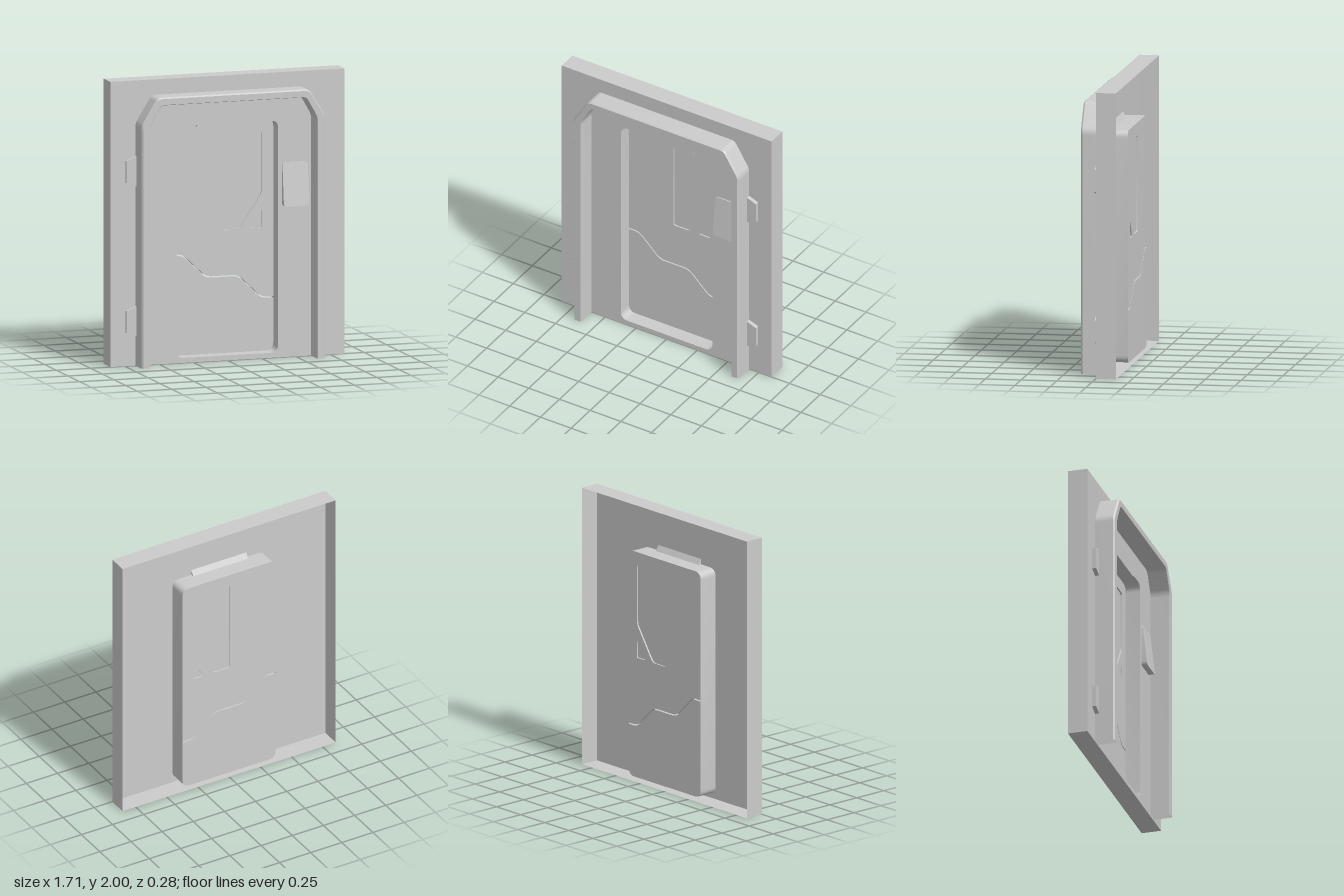
import * as THREE from 'three';
import { toCreasedNormals } from 'three/addons/utils/BufferGeometryUtils.js';

const solid = new THREE.MeshStandardMaterial({ color: 0xcccccc });
const sheet = new THREE.MeshStandardMaterial({ color: 0xcccccc, side: THREE.DoubleSide });

// Rounds the corners of a polyline; each point is [x, y, radius]
function rounded(pts, closed = true, steps = 6) {
  const out = [], n = pts.length;
  pts.forEach(([x, y, r = 0], i) => {
    const p = new THREE.Vector2(x, y);
    if (!r || (!closed && (i === 0 || i === n - 1))) { out.push(p); return; }
    const toward = (q) => {
      const d = new THREE.Vector2(q[0], q[1]).sub(p);
      return d.setLength(Math.min(r, d.length() * 0.49)).add(p);
    };
    const bend = new THREE.QuadraticBezierCurve(toward(pts[(i + n - 1) % n]), p, toward(pts[(i + 1) % n]));
    out.push(...bend.getPoints(steps));
  });
  return out;
}

const rect = (x0, y0, x1, y1, r = 0) => rounded([[x0, y0, r], [x1, y0, r], [x1, y1, r], [x0, y1, r]]);
const reversed = (pts) => [...pts].reverse();

function shapeWithHoles(pts, holes = []) {
  const shape = new THREE.Shape(pts);
  holes.forEach((h) => shape.holes.push(new THREE.Path(reversed(h))));
  return shape;
}

// Surface through a row of equally long point rings
function loft(rings, closed) {
  const n = rings[0].length, pos = [], index = [];
  rings.forEach((ring) => ring.forEach((p) => pos.push(p.x, p.y, p.z)));
  for (let k = 0; k < rings.length - 1; k++) {
    for (let i = 0; i < (closed ? n : n - 1); i++) {
      const a = k * n + i, b = k * n + (i + 1) % n;
      index.push(a, b, b + n, a, b + n, a + n);
    }
  }
  const g = new THREE.BufferGeometry();
  g.setAttribute('position', new THREE.Float32BufferAttribute(pos, 3));
  g.setIndex(index);
  return toCreasedNormals(g, 0.5);
}

const atDepth = (pts, z) => pts.map((p) => new THREE.Vector3(p.x, p.y, z));

function extrude(shape, z0, z1) {
  const g = new THREE.ExtrudeGeometry(shape, { depth: z1 - z0, bevelEnabled: false });
  g.translate(0, 0, z0);
  return toCreasedNormals(g, 0.5);
}

export function createModel() {
  const model = new THREE.Group();
  const add = (name, geometry, material = solid, parent = model) => {
    const mesh = new THREE.Mesh(geometry, material);
    mesh.name = name;
    parent.add(mesh);
    return mesh;
  };

  // Wall: thin front sheet with a rim, open at the back
  const W = 0.855, D = 0.14;
  const wallOutline = rect(-W, 0, W, 2);
  const niche = rect(-0.372, 0.035, 0.372, 1.663, 0.055);
  const slot = rect(-0.153, 1.67, 0.153, 1.692);
  add('wallPanel', new THREE.ShapeGeometry(shapeWithHoles(wallOutline, [niche, slot])), sheet);
  add('wallRim', loft([atDepth(wallOutline, 0), atDepth(wallOutline, -D)], true), sheet);

  // Niche sides running back to the door
  add('doorNiche', loft([atDepth(niche, 0), atDepth(niche, -0.138)], true), sheet);

  // Sloped light housing behind the slot over the door
  const wedge = new THREE.Shape([[0, 1.702], [-0.03, 1.65], [0, 1.65]].map((p) => new THREE.Vector2(...p)));
  const housing = extrude(wedge, -0.22, 0.22);
  housing.rotateY(-Math.PI / 2);
  add('lightHousing', housing, sheet);

  // Door frame: bevelled channel around the opening, chamfered at the top
  const arch = (w, top, shoulder, cw) => rounded([
    [w, 0], [w, shoulder, 0.03], [cw, top, 0.03], [-cw, top, 0.03], [-w, shoulder, 0.03], [-w, 0],
  ], false);
  const outer = arch(0.672, 1.892, 1.70, 0.553);
  const inner = arch(0.613, 1.838, 1.69, 0.53);
  const between = (t) => outer.map((p, i) => p.clone().lerp(inner[i], t));
  add('doorFrame', loft([
    atDepth(outer, 0), atDepth(outer, 0.128), atDepth(between(0.17), 0.14),
    atDepth(between(0.95), 0.14), atDepth(inner, 0.137), atDepth(inner, 0),
  ], false), sheet);

  // Brackets on both sides of the frame
  for (const side of [-1, 1]) {
    for (const y of [0.21, 1.262]) {
      const pts = [[0.66, y - 0.003], [0.745, y + 0.026], [0.745, y + 0.18], [0.66, y + 0.213]]
        .map(([x, py]) => new THREE.Vector2(side * x, py));
      add('frameBracket', extrude(new THREE.Shape(pts), 0, 0.029));
    }
  }

  // Door: two leaves parted by a stepped gap, with windows in the upper one
  const door = new THREE.Group();
  door.name = 'door';
  model.add(door);
  const split = (dy) => rounded([
    [-0.372, 0.737 + dy], [-0.29, 0.737 + dy, 0.04], [-0.12, 0.572 + dy, 0.04],
    [0.115, 0.572 + dy, 0.04], [0.285, 0.408 + dy, 0.04], [0.372, 0.408 + dy],
  ], false);
  const corner = (x, y, dx, dy) => new THREE.QuadraticBezierCurve(
    new THREE.Vector2(x, y + dy), new THREE.Vector2(x, y), new THREE.Vector2(x + dx, y)).getPoints(6);
  const r = 0.055;
  const upper = [...split(0.005), ...corner(0.372, 1.663, -r, -r), ...reversed(corner(-0.372, 1.663, r, -r))];
  const lower = [...reversed(split(-0.005)), ...corner(-0.372, 0.035, r, r), ...reversed(corner(0.372, 0.035, -r, r))];
  const windows = [
    rounded([[-0.01, 0.90, 0.015], [0.125, 0.90, 0.03], [0.287, 1.14, 0.03], [0.287, 1.572, 0.015], [-0.01, 1.572, 0.015]]),
    rounded([[0.2, 0.90, 0.012], [0.287, 0.90, 0.008], [0.287, 1.025, 0.012]]),
  ];
  add('upperDoorLeaf', extrude(shapeWithHoles(upper, windows), -0.138, -0.105), solid, door);
  add('lowerDoorLeaf', extrude(shapeWithHoles(lower), -0.138, -0.105), solid, door);
  windows.forEach((w) => add('windowPane', extrude(shapeWithHoles(w), -0.127, -0.116), solid, door));

  // Control panel beside the door: its face slopes back toward the top
  const panel = extrude(shapeWithHoles(rect(0.4, 1.06, 0.585, 1.367, 0.025)), 0, 1);
  const p = panel.attributes.position;
  for (let i = 0; i < p.count; i++) {
    if (p.getZ(i) > 0.5) p.setZ(i, 0.042 - 0.034 * (p.getY(i) - 1.06) / 0.307);
  }
  add('controlPanel', toCreasedNormals(panel, 0.5));

  return model;
}
